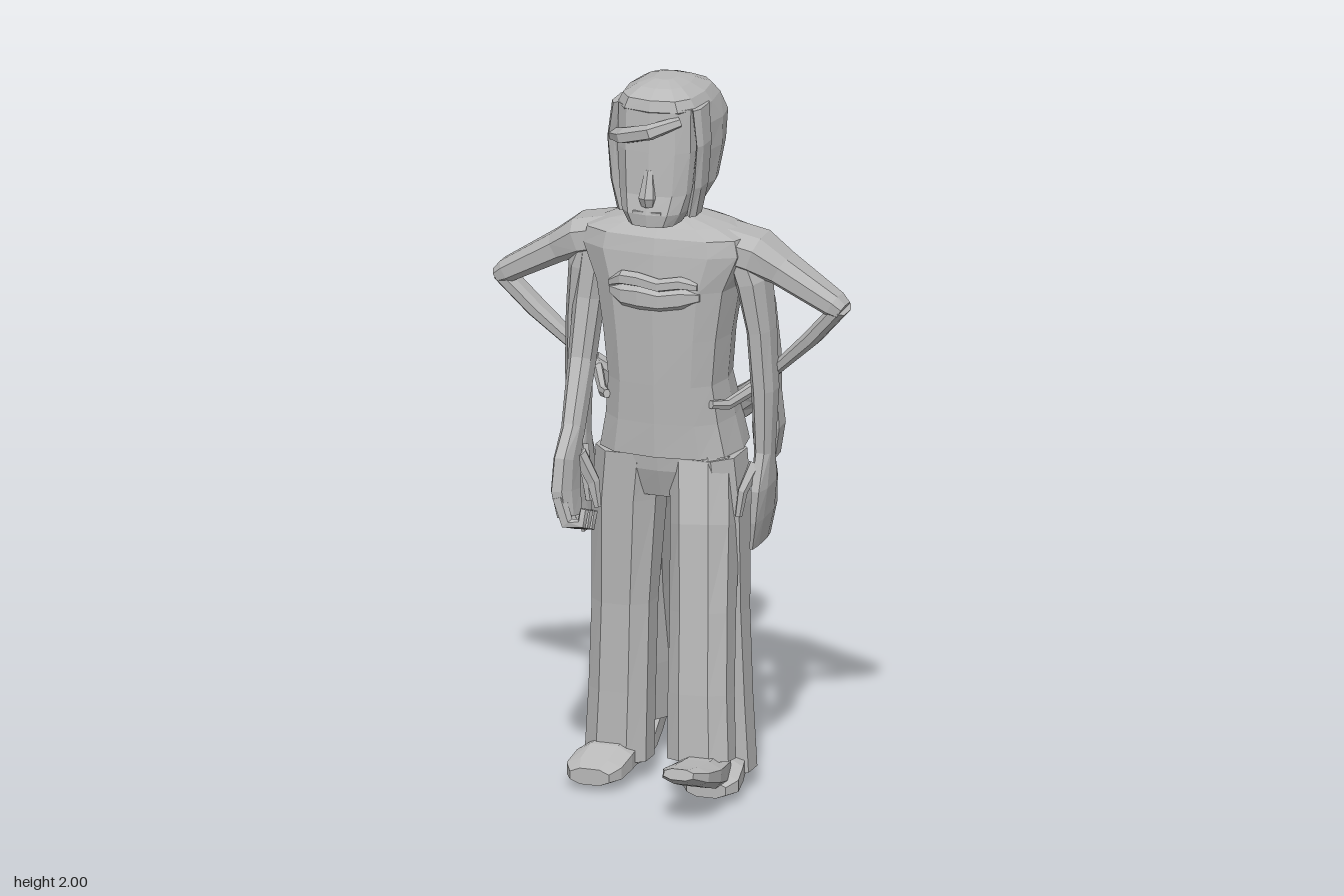
import * as THREE from 'three';

const clay = new THREE.MeshStandardMaterial({ color: 0xb8b8b8, flatShading: true });
clay.name = 'clay grey';

const X = new THREE.Vector3(1, 0, 0), Y = new THREE.Vector3(0, 1, 0), Z = new THREE.Vector3(0, 0, 1);

// Closed skin through sections [x, y, z, ru, rv]; u follows ref, v is square to u and the path.
// A fixed axis keeps every ring parallel; power below 1 makes the ring boxier.
function loft(name, sections, { ref = X, axis = null, sides = 8, power = 0.8, phase = 0.5, mirror = 1 } = {}) {
  const pts = sections.map(s => new THREE.Vector3(s[0] * mirror, s[1], s[2]));
  const pos = [], idx = [], n = pts.length;
  const shape = k => Math.sign(k) * Math.abs(k) ** power;
  pts.forEach((p, i) => {
    const t = axis ? axis.clone()
      : pts[Math.min(i + 1, n - 1)].clone().sub(pts[Math.max(i - 1, 0)]).normalize();
    const u = ref.clone().addScaledVector(t, -ref.dot(t)).normalize();
    const v = t.clone().cross(u);
    for (let j = 0; j < sides; j++) {
      const a = (j + phase) / sides * Math.PI * 2;
      const q = p.clone()
        .addScaledVector(u, shape(Math.cos(a)) * sections[i][3])
        .addScaledVector(v, shape(Math.sin(a)) * sections[i][4]);
      pos.push(q.x, q.y, q.z);
    }
  });
  for (let i = 0; i < n - 1; i++) for (let j = 0; j < sides; j++) {
    const a = i * sides + j, b = i * sides + (j + 1) % sides;
    idx.push(a, b, b + sides, a, b + sides, a + sides);
  }
  // end caps
  const c0 = n * sides;
  for (const p of [pts[0], pts[n - 1]]) pos.push(p.x, p.y, p.z);
  for (let j = 0; j < sides; j++) {
    const k = (j + 1) % sides, e = (n - 1) * sides;
    idx.push(c0, k, j, c0 + 1, e + j, e + k);
  }
  const g = new THREE.BufferGeometry();
  g.setAttribute('position', new THREE.Float32BufferAttribute(pos, 3));
  g.setIndex(idx);
  g.computeVertexNormals();
  const m = new THREE.Mesh(g, clay);
  m.name = name;
  return m;
}

// Horizontal slice given by half width and its back and front z
const slice = (y, w, back, front) => [0, y, (back + front) / 2, w, (front - back) / 2];

export function createModel() {
  const model = new THREE.Group();
  model.name = 'figure';
  const add = (...args) => model.add(loft(...args));
  const upright = { axis: Y, sides: 12, power: 0.7, phase: 0 };

  // Shirt, hips and neck
  add('shirt', [
    slice(0.945, 0.198, -0.24, 0.085), slice(1.04, 0.178, -0.225, 0.088),
    slice(1.15, 0.165, -0.18, 0.093), slice(1.28, 0.178, -0.175, 0.098), slice(1.42, 0.2, -0.19, 0.103),
    slice(1.52, 0.245, -0.19, 0.093), slice(1.565, 0.235, -0.165, 0.083),
    slice(1.59, 0.17, -0.14, 0.06), slice(1.615, 0.07, -0.1, 0.03),
  ], upright);
  add('hips', [slice(0.82, 0.15, -0.12, 0.03), slice(0.9, 0.185, -0.16, 0.06), slice(0.98, 0.18, -0.17, 0.07)], upright);
  add('neck', [slice(1.56, 0.075, -0.11, 0.03), slice(1.68, 0.07, -0.1, 0.04)], upright);

  // Raised wavy bars on the chest
  const bar = { ref: Y, axis: X, sides: 6, phase: 0 };
  add('upperChestBar', [[-0.13, 1.43, 0.075, 0.012, 0.02], [-0.09, 1.45, 0.095, 0.02, 0.025], [-0.04, 1.45, 0.102, 0.02, 0.025],
    [0.02, 1.44, 0.105, 0.018, 0.025], [0.08, 1.45, 0.096, 0.018, 0.025], [0.125, 1.44, 0.08, 0.012, 0.02]], bar);
  add('lowerChestBar', [[-0.13, 1.41, 0.075, 0.015, 0.015], [-0.09, 1.4, 0.093, 0.03, 0.018], [-0.04, 1.4, 0.1, 0.035, 0.02],
    [0.02, 1.395, 0.1, 0.03, 0.02], [0.08, 1.405, 0.094, 0.03, 0.018], [0.13, 1.41, 0.075, 0.015, 0.015]], bar);

  // Head: hair, face, fringe, nose and mouth
  add('hair', [
    slice(1.63, 0.08, -0.12, 0.0), slice(1.7, 0.12, -0.16, 0.02), slice(1.8, 0.136, -0.185, 0.03),
    slice(1.88, 0.14, -0.198, 0.05), slice(1.935, 0.125, -0.185, 0.128), slice(1.965, 0.108, -0.155, 0.12),
    slice(1.988, 0.07, -0.1, 0.08), slice(2.0, 0.03, -0.06, 0.03),
  ], upright);
  add('face', [
    slice(1.615, 0.07, -0.02, 0.148), slice(1.65, 0.092, -0.05, 0.152), slice(1.7, 0.106, -0.08, 0.138),
    slice(1.82, 0.116, -0.08, 0.13), slice(1.94, 0.115, -0.08, 0.122),
  ], upright);
  add('fringe', [[-0.11, 1.85, 0.075, 0.03, 0.015], [-0.07, 1.86, 0.12, 0.032, 0.022],
    [0.01, 1.885, 0.148, 0.025, 0.022], [0.08, 1.91, 0.105, 0.025, 0.015]], { ref: Z, sides: 6 });
  add('nose', [[0, 1.77, 0.125, 0.012, 0.012], [0, 1.695, 0.14, 0.024, 0.024], [0, 1.675, 0.135, 0.018, 0.018]], { sides: 6 });
  add('mouth', [[-0.04, 1.655, 0.138, 0.012, 0.005], [0.04, 1.655, 0.138, 0.012, 0.005]], { ref: Z, sides: 6 });

  for (const mirror of [1, -1]) {
    const side = mirror > 0 ? 'left' : 'right';
    const arm = { ref: Z, mirror };

    add(side + 'HairLock', [[0.1, 1.635, 0.045, 0.015, 0.04], [0.118, 1.72, 0.045, 0.014, 0.05],
      [0.128, 1.84, 0.045, 0.012, 0.055], [0.115, 1.94, 0.035, 0.014, 0.06]], { axis: Y, sides: 6, mirror });

    // Bent arm with the hand on the hip
    add(side + 'BentUpperArm', [[0.16, 1.535, -0.05, 0.09, 0.055], [0.25, 1.515, -0.05, 0.09, 0.058],
      [0.32, 1.475, -0.055, 0.072, 0.044], [0.47, 1.39, -0.05, 0.048, 0.034], [0.495, 1.375, -0.05, 0.04, 0.024]], arm);
    add(side + 'BentForearm', [[0.49, 1.385, -0.05, 0.042, 0.024], [0.4, 1.285, -0.075, 0.04, 0.024],
      [0.29, 1.18, -0.1, 0.03, 0.018], [0.24, 1.13, -0.115, 0.03, 0.018]], arm);
    add(side + 'HipHand', [[0.25, 1.14, -0.115, 0.028, 0.022], [0.2, 1.08, -0.145, 0.022, 0.04],
      [0.15, 1.04, -0.18, 0.016, 0.045], [0.1, 1.02, -0.205, 0.01, 0.03]], arm);
    add(side + 'HipThumb', [[0.23, 1.12, -0.1, 0.018, 0.015], [0.18, 1.09, 0.0, 0.015, 0.012],
      [0.15, 1.1, 0.05, 0.012, 0.01]], { ref: Y, sides: 6, mirror });

    // Arm hanging straight down
    add(side + 'HangingArm', [[0.2, 1.55, -0.04, 0.07, 0.04], [0.24, 1.44, -0.045, 0.075, 0.045],
      [0.26, 1.3, -0.05, 0.062, 0.036], [0.268, 1.13, -0.055, 0.052, 0.034], [0.265, 0.94, -0.06, 0.04, 0.025]], arm);
    add(side + 'HangingHand', [[0.265, 0.96, -0.06, 0.04, 0.025], [0.262, 0.86, -0.065, 0.08, 0.024],
      [0.255, 0.77, -0.08, 0.09, 0.016], [0.242, 0.685, -0.085, 0.075, 0.009]], arm);
    add(side + 'HangingThumb', [[0.25, 0.92, -0.03, 0.02, 0.02], [0.225, 0.85, 0.005, 0.018, 0.014],
      [0.215, 0.78, 0.01, 0.01, 0.01]], { ref: Z, sides: 6, mirror });

    // Standing leg and shoe
    add(side + 'StandingLeg', [[0.105, 0.94, -0.05, 0.1, 0.115], [0.12, 0.8, -0.05, 0.098, 0.105],
      [0.132, 0.5, -0.045, 0.088, 0.08], [0.14, 0.25, -0.045, 0.09, 0.075], [0.148, 0.05, -0.045, 0.094, 0.075]],
      { axis: Y.clone().negate(), mirror });
    add(side + 'StandingShoe', [[0.15, 0.05, -0.12, 0.06, 0.035], [0.152, 0.065, -0.04, 0.07, 0.05],
      [0.16, 0.06, 0.04, 0.084, 0.045], [0.168, 0.045, 0.1, 0.084, 0.035], [0.168, 0.038, 0.138, 0.06, 0.024]], { axis: Z, mirror });
  }

  // Walking arms: right one swings forward with curled fingers, left one back
  add('forwardArm', [[-0.2, 1.54, -0.04, 0.07, 0.045], [-0.225, 1.35, -0.02, 0.055, 0.04],
    [-0.232, 1.18, 0.02, 0.05, 0.035], [-0.22, 1.0, 0.13, 0.045, 0.028]], { ref: Z });
  add('forwardPalm', [[-0.22, 1.02, 0.125, 0.04, 0.028], [-0.22, 0.94, 0.17, 0.07, 0.03],
    [-0.22, 0.86, 0.18, 0.078, 0.032], [-0.205, 0.79, 0.195, 0.06, 0.026]], { ref: Z });
  for (let i = 0; i < 3; i++) {
    const z = 0.165 + i * 0.035, y = 0.8 + i * 0.012;
    add('forwardFinger', [[-0.22, y + 0.03, z, 0.022, 0.02], [-0.195, y - 0.04, z + 0.005, 0.02, 0.02],
      [-0.155, y - 0.04, z, 0.018, 0.016], [-0.15, y, z - 0.01, 0.015, 0.012]], { ref: Z, sides: 6 });
  }
  add('forwardThumb', [[-0.2, 0.95, 0.13, 0.025, 0.02], [-0.165, 0.87, 0.115, 0.022, 0.018], [-0.15, 0.8, 0.12, 0.012, 0.01]], { ref: Z, sides: 6 });
  add('backwardArm', [[0.2, 1.54, -0.05, 0.07, 0.045], [0.238, 1.35, -0.1, 0.05, 0.04],
    [0.248, 1.2, -0.13, 0.045, 0.035], [0.248, 1.08, -0.145, 0.04, 0.03]], { ref: Z });
  add('backwardHand', [[0.248, 1.1, -0.145, 0.04, 0.03], [0.242, 1.0, -0.155, 0.055, 0.042], [0.235, 0.91, -0.165, 0.045, 0.032]], { ref: Z });

  // Walking legs: left one steps forward, right one trails
  add('forwardLeg', [[0.1, 0.92, -0.04, 0.09, 0.105], [0.12, 0.75, 0.015, 0.09, 0.1],
    [0.132, 0.52, 0.065, 0.088, 0.078], [0.14, 0.3, 0.1, 0.09, 0.07], [0.148, 0.12, 0.12, 0.094, 0.066]]);
  add('forwardShoe', [[0.165, 0.08, 0.065, 0.05, 0.045], [0.167, 0.09, 0.13, 0.062, 0.05],
    [0.17, 0.107, 0.22, 0.075, 0.038], [0.172, 0.128, 0.31, 0.07, 0.027], [0.172, 0.147, 0.368, 0.045, 0.016]]);
  add('trailingLeg', [[-0.1, 0.92, -0.07, 0.09, 0.105], [-0.12, 0.75, -0.1, 0.09, 0.093],
    [-0.132, 0.52, -0.155, 0.088, 0.083], [-0.14, 0.3, -0.22, 0.09, 0.078], [-0.15, 0.13, -0.275, 0.092, 0.076]]);
  add('trailingShoe', [[-0.178, 0.08, -0.37, 0.05, 0.035], [-0.175, 0.078, -0.29, 0.065, 0.055],
    [-0.17, 0.052, -0.2, 0.075, 0.045], [-0.17, 0.027, -0.12, 0.07, 0.028], [-0.17, 0.015, -0.085, 0.045, 0.018]]);

  return model;
}
